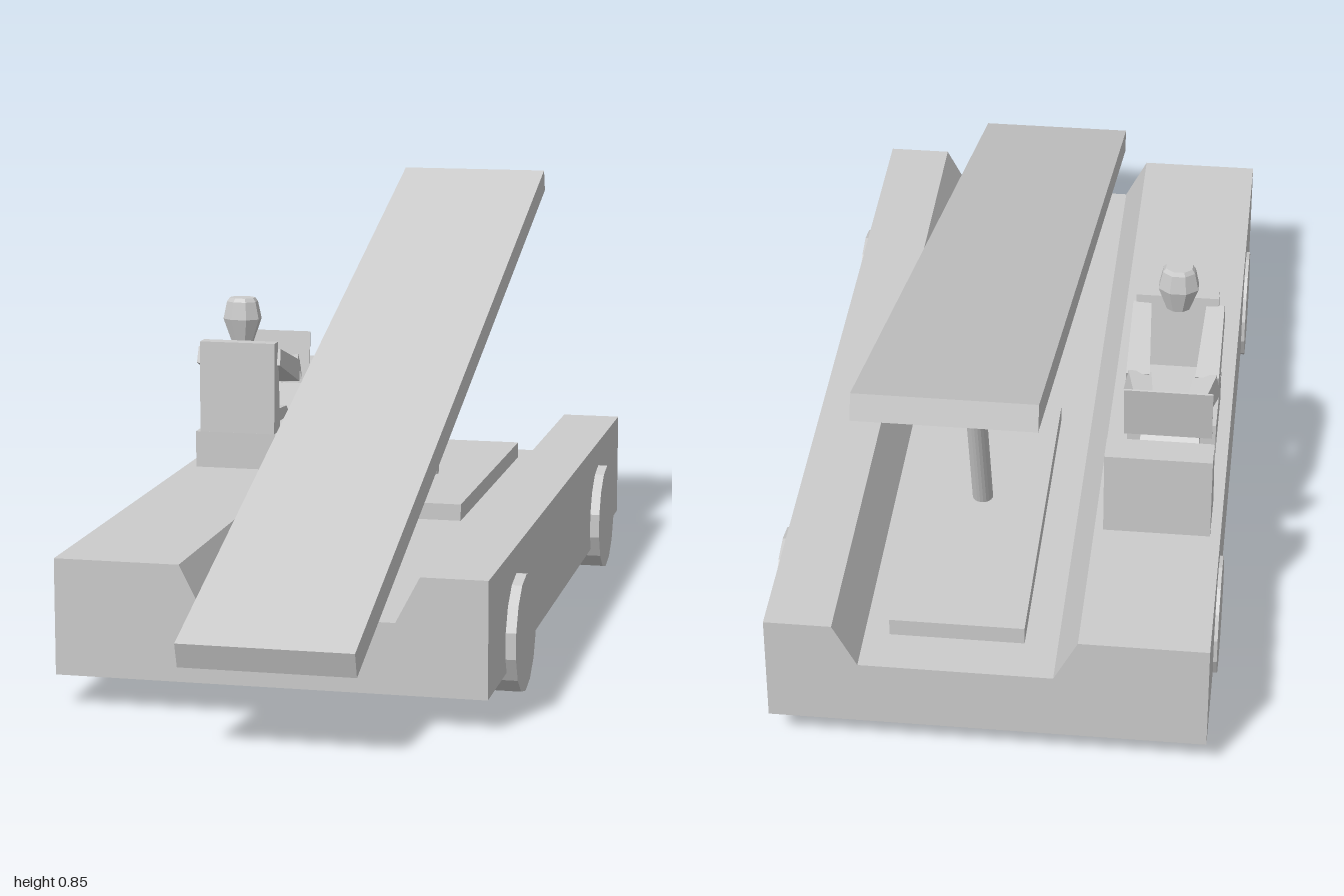
import * as THREE from 'three';

const solid = new THREE.MeshStandardMaterial({ color: 0xcccccc, flatShading: true });
const sheet = new THREE.MeshStandardMaterial({ color: 0xcccccc, flatShading: true, side: THREE.DoubleSide });
const Z_FRONT = 0.735, Z_BACK = -0.943, DRIVER_X = -0.307;

// Footprints [x range, z range] of the hollow parts rising from the body
const SEAT = [[-0.395, -0.22], [-0.355, -0.16]];
const CONSOLE = [[-0.4, -0.195], [-0.605, -0.49]];
const BASE_PLATE = [[-0.07, 0.185], [-0.85, -0.145]];

function add(parent, name, geometry, x = 0, y = 0, z = 0, material = solid) {
  const mesh = new THREE.Mesh(geometry, material);
  mesh.name = name;
  mesh.position.set(x, y, z);
  parent.add(mesh);
  return mesh;
}

// Hollow box without a bottom; topFront pulls the upper front edge back into a slope
function openBox(parent, name, [[x0, x1], [z0, z1]], y0, y1, topFront = z1) {
  const g = new THREE.BoxGeometry(x1 - x0, y1 - y0, z1 - z0);
  g.translate((x0 + x1) / 2, (y0 + y1) / 2, (z0 + z1) / 2);
  g.setIndex([...g.index.array].filter((_, i) => i < 18 || i >= 24));
  const p = g.attributes.position;
  for (let i = 0; i < p.count; i++) {
    if (p.getY(i) > (y0 + y1) / 2 && p.getZ(i) > (z0 + z1) / 2) p.setZ(i, topFront);
  }
  g.computeVertexNormals();
  add(parent, name, g, 0, 0, 0, sheet);
}

// Side section of [z, y] points extruded across a width centred on x
function sideSection(parent, name, points, x, width) {
  const shape = new THREE.Shape(points.map(([z, y]) => new THREE.Vector2(-z, y)));
  const g = new THREE.ExtrudeGeometry(shape, { depth: width, bevelEnabled: false });
  add(parent, name, g.rotateY(Math.PI / 2), x - width / 2);
}

// Tapered bar between two points, with r0 and r1 its half widths at the ends
function bar(parent, name, from, to, r0, r1, sides = 4) {
  const a = new THREE.Vector3(...from), b = new THREE.Vector3(...to);
  const dir = b.clone().sub(a);
  const k = sides === 4 ? Math.SQRT2 : 1;
  const geometry = new THREE.CylinderGeometry(r1 * k, r0 * k, dir.length(), sides);
  geometry.rotateY(Math.PI / sides);
  const mesh = add(parent, name, geometry);
  mesh.position.copy(a).add(b).multiplyScalar(0.5);
  mesh.quaternion.setFromUnitVectors(new THREE.Vector3(0, 1, 0), dir.normalize());
}

function rectangle(Type, [[x0, x1], [z0, z1]]) {
  return new Type([[x0, -z1], [x1, -z1], [x1, -z0], [x0, -z0]].map(p => new THREE.Vector2(...p)));
}

// Lengthwise panel on one segment of the body profile, with openings where parts rise from it
function panel([ax, ay], [bx, by], openings = []) {
  const length = Math.hypot(bx - ax, by - ay);
  const shape = rectangle(THREE.Shape, [[0, length], [Z_BACK, Z_FRONT]]);
  shape.holes = openings.map(([[x0, x1], z]) => rectangle(THREE.Path, [[x0 - ax, x1 - ax], z]));
  return new THREE.ShapeGeometry(shape).rotateX(-Math.PI / 2)
    .rotateZ(Math.atan2(by - ay, bx - ax)).translate(ax, ay, 0);
}

function makeBody() {
  const body = new THREE.Group();
  body.name = 'body';
  const profile = [[-0.42, 0.061], [-0.42, 0.285], [-0.178, 0.285], [-0.133, 0.197],
    [0.232, 0.197], [0.278, 0.285], [0.405, 0.285], [0.405, 0.061]];
  const names = ['rightWall', 'rightDeck', 'rightTroughSlope', 'troughFloor',
    'leftTroughSlope', 'leftDeck', 'leftWall'];
  const openings = { rightDeck: [SEAT, CONSOLE], troughFloor: [BASE_PLATE] };
  names.forEach((name, i) =>
    add(body, name, panel(profile[i], profile[i + 1], openings[name]), 0, 0, 0, sheet));
  // End walls follow the trough outline; the underside stays open
  const end = new THREE.ShapeGeometry(new THREE.Shape(profile.map(p => new THREE.Vector2(...p))));
  add(body, 'frontWall', end, 0, 0, Z_FRONT, sheet);
  add(body, 'backWall', end, 0, 0, Z_BACK, sheet);
  return body;
}

function makeDriver() {
  const driver = new THREE.Group();
  driver.name = 'driver';
  const x = DRIVER_X;
  sideSection(driver, 'torso',
    [[-0.16, 0.36], [-0.165, 0.556], [-0.197, 0.556], [-0.212, 0.36]], x + 0.003, 0.163);
  sideSection(driver, 'legs', [[-0.2, 0.362], [-0.2, 0.398], [-0.375, 0.386],
    [-0.475, 0.308], [-0.45, 0.287], [-0.355, 0.352]], x, 0.115);

  // Head widens from neck to temples, then narrows to the crown
  const headProfile = [[0, 0.545], [0.024, 0.55], [0.042, 0.6], [0.034, 0.637], [0.028, 0.645], [0, 0.645]]
    .map(p => new THREE.Vector2(...p));
  const head = new THREE.LatheGeometry(headProfile, 8);
  head.rotateY(Math.PI / 8).scale(1, 1, 0.8);
  add(driver, 'head', head, x, 0, -0.223);

  for (const s of [-1, 1]) {
    const elbow = [x + s * 0.068, 0.466, -0.362];
    bar(driver, 'upperArm', [x + s * 0.073, 0.523, -0.19], elbow, 0.018, 0.023);
    bar(driver, 'forearm', elbow, [x + s * 0.047, 0.466, -0.475], 0.023, 0.016);
  }
  return driver;
}

export function createModel() {
  const model = new THREE.Group();
  model.name = 'vehicle';
  model.add(makeBody());

  // Wheels
  for (const z of [0.44, -0.63]) {
    for (const x of [-0.381, 0.379]) {
      const wheel = new THREE.CylinderGeometry(0.115, 0.115, 0.092, 14);
      wheel.rotateY(Math.PI / 14).rotateZ(Math.PI / 2);
      add(model, 'wheel', wheel, x, 0.116, z);
    }
  }

  // Inclined conveyor with its support post and base plate
  const conveyor = add(model, 'conveyor', new THREE.BoxGeometry(0.328, 0.05, 2.087), 0.053, 0.505, 0);
  conveyor.rotation.x = THREE.MathUtils.degToRad(18);
  openBox(model, 'basePlate', BASE_PLATE, 0.197, 0.232);
  bar(model, 'supportPost', [0.055, 0.22, -0.453], [0.055, 0.685, -0.605], 0.02, 0.02, 20);

  // Driver on a seat, facing a console with a sloping front
  openBox(model, 'seat', SEAT, 0.285, 0.362);
  model.add(makeDriver());
  openBox(model, 'console', CONSOLE, 0.285, 0.46, -0.545);

  // Thin control panel held between the hands
  const controls = add(model, 'controlPanel', new THREE.BoxGeometry(0.17, 0.115, 0.004), DRIVER_X, 0.477, -0.48);
  controls.rotation.x = -0.14;
  return model;
}
